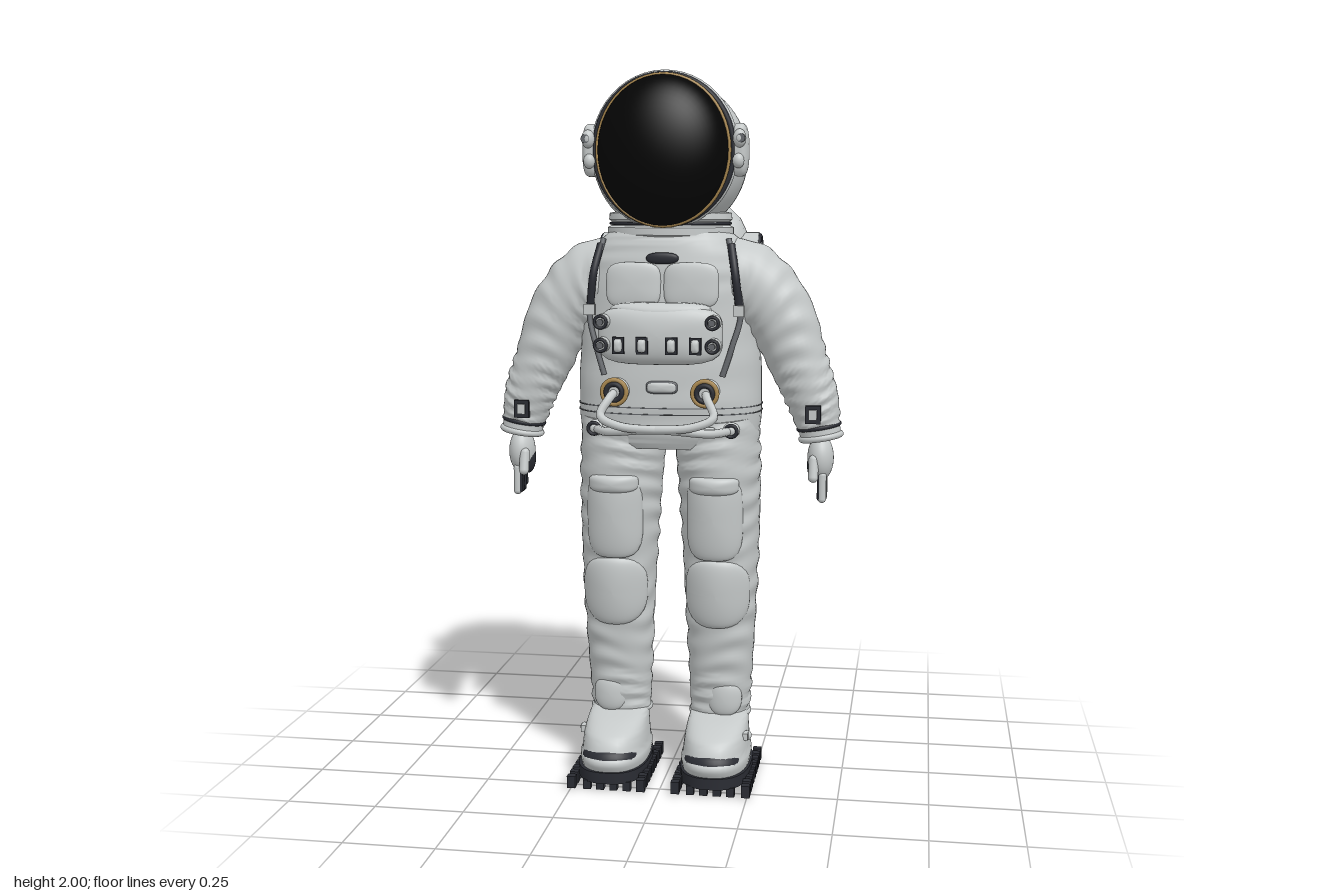
import * as THREE from 'three';
import { toCreasedNormals } from 'three/addons/utils/BufferGeometryUtils.js';

const material = (name, color) => {
  const m = new THREE.MeshStandardMaterial({ color });
  m.name = name;
  return m;
};
const V = (p) => new THREE.Vector3(...p);

// Move and turn a geometry in place
function at(geo, x, y, z, rx = 0, ry = 0, rz = 0) {
  const q = new THREE.Quaternion().setFromEuler(new THREE.Euler(rx, ry, rz));
  return geo.applyMatrix4(new THREE.Matrix4().compose(V([x, y, z]), q, V([1, 1, 1])));
}

// Copy mirrored across x, with corner order restored
function mirrored(geo) {
  const g = geo.clone().scale(-1, 1, 1);
  const old = g.index ? [...g.index.array] : [...Array(g.attributes.position.count).keys()];
  for (let i = 0; i < old.length; i += 3) [old[i], old[i + 1]] = [old[i + 1], old[i]];
  g.setIndex(old);
  return g;
}

// Skin of superellipse rings along sections [x, y, z, sideRadius, depthRadius]
function loft(sections, { rows = 24, power = 2.4, fold = 0, folds = 20 } = {}) {
  const N = 40, pos = [], idx = [];
  const path = new THREE.CatmullRomCurve3(sections.map((s) => V(s.slice(0, 3))));
  const size = new THREE.CatmullRomCurve3(sections.map((s) => new THREE.Vector3(s[3], s[4], 0)));
  for (let i = 0; i <= rows; i++) {
    const t = i / rows, c = path.getPoint(t), r = size.getPoint(t), d = path.getTangent(t);
    d.z = 0;
    d.normalize();
    for (let j = 0; j < N; j++) {
      const a = (j / N) * Math.PI * 2, ca = Math.cos(a), sa = Math.sin(a);
      const k = (Math.abs(ca) ** power + Math.abs(sa) ** power) ** (-1 / power);
      const w = fold * Math.sin(t * folds * 6.28 + 1.8 * Math.sin(a * 2 + t * 9)) * (0.6 + 0.4 * Math.sin(a * 3 + t * 17));
      const u = ca * (k * r.x + w);
      pos.push(c.x + d.y * u, c.y - d.x * u, c.z + sa * (k * r.y + w));
      if (i < rows) {
        const p = i * N + j, q = i * N + ((j + 1) % N);
        idx.push(p, p + N, q, q, p + N, q + N);
      }
    }
  }
  const first = path.getPoint(0), last = path.getPoint(1), n = pos.length / 3;
  pos.push(first.x, first.y, first.z, last.x, last.y, last.z);
  for (let j = 0; j < N; j++) {
    const k = (j + 1) % N;
    idx.push(n, j, k, n + 1, rows * N + k, rows * N + j);
  }
  const g = new THREE.BufferGeometry();
  g.setAttribute('position', new THREE.Float32BufferAttribute(pos, 3));
  g.setIndex(idx);
  return toCreasedNormals(g, 0.9);
}

// Soft rounded rectangle facing z, bent around the body
function cushion(w, h, d, bend = 0, power = 4) {
  const g = new THREE.SphereGeometry(1, 40, 24).rotateX(Math.PI / 2), p = g.attributes.position;
  for (let i = 0; i < p.count; i++) {
    const x = p.getX(i), y = p.getY(i), z = p.getZ(i), r = Math.hypot(x, y) || 1;
    const k = (Math.abs(x / r) ** power + Math.abs(y / r) ** power) ** (-1 / power);
    const px = x * k * w;
    p.setXYZ(i, px, y * k * h, Math.sign(z) * Math.abs(z) ** 0.6 * d - bend * px * px);
  }
  g.computeVertexNormals();
  return g;
}
const ball = (x, y, z) => new THREE.SphereGeometry(1, 32, 20).scale(x, y, z);
const box = (x, y, z) => new THREE.BoxGeometry(x, y, z);
const disc = (r, h) => new THREE.CylinderGeometry(r, r, h, 28);
const ring = (r, t) => new THREE.TorusGeometry(r, t, 10, 48);
const capsule = (r, l) => new THREE.CapsuleGeometry(r, l, 6, 16);
const tube = (points, r) => new THREE.TubeGeometry(new THREE.CatmullRomCurve3(points.map(V)), 48, r, 10);

export function createModel() {
  const model = new THREE.Group();
  const white = material('suit white', 0xc6caca);
  const dark = material('dark rubber', 0x2a2c33);
  const black = material('visor black', 0x050505);
  const gold = material('gold trim', 0xa8874f);
  const grey = material('strap grey', 0x63666a);

  const add = (name, mat, geo) => {
    const mesh = new THREE.Mesh(geo, mat);
    mesh.name = name;
    model.add(mesh);
  };
  const pair = (name, mat, geo) => {
    add(name + 'Left', mat, geo);
    add(name + 'Right', mat, mirrored(geo));
  };
  const H = Math.PI / 2;

  // Helmet, visor and rims
  add('helmet', white, at(new THREE.SphereGeometry(0.216, 48, 32), 0, 1.768, 0.055));
  add('visor', black, at(new THREE.SphereGeometry(1, 48, 16, 0, Math.PI * 2, 0, H).rotateX(H).scale(0.18, 0.203, 0.12), 0, 1.783, 0.18));
  add('visorPlate', white, at(disc(1, 0.012).rotateX(H).scale(0.2, 0.208, 1), 0, 1.785, 0.16));
  add('visorSeal', dark, at(ring(1, 0.04).scale(0.191, 0.202, 0.2), 0, 1.785, 0.172));
  add('visorRim', white, at(ring(1, 0.03).scale(0.198, 0.208, 0.3), 0, 1.785, 0.163));
  add('visorTrim', gold, at(ring(1, 0.025).scale(0.182, 0.203, 0.35), 0, 1.783, 0.185));
  pair('earPod', white, at(cushion(0.04, 0.072, 0.025), 0.205, 1.785, 0.14, 0, H));
  pair('earKnob', white, at(ball(0.018, 0.025, 0.018), 0.208, 1.815, 0.18));
  pair('earKnobLower', white, at(ball(0.016, 0.02, 0.016), 0.205, 1.755, 0.18));
  pair('earButton', grey, at(disc(0.012, 0.01), 0.213, 1.815, 0.192, H));

  // Neck collar
  const collar = [[0.15, 1.54], [0.178, 1.555], [0.178, 1.575], [0.168, 1.58], [0.168, 1.592], [0.174, 1.597], [0.172, 1.615], [0.12, 1.625]];
  add('collar', white, at(toCreasedNormals(new THREE.LatheGeometry(collar.map((p) => new THREE.Vector2(...p)), 48).scale(1, 1, 0.75), 0.6), 0, 0, 0.052));
  add('collarSeal', dark, at(ring(0.169, 0.004).rotateX(H).scale(1, 1, 0.75), 0, 1.586, 0.052));

  // Torso, waist seams, arms and legs
  add('torso', white, loft([
    [0, 0.965, 0.05, 0.235, 0.14], [0, 1.0, 0.05, 0.255, 0.155], [0, 1.1, 0.05, 0.26, 0.16], [0, 1.25, 0.05, 0.255, 0.155],
    [0, 1.4, 0.05, 0.245, 0.15], [0, 1.48, 0.05, 0.23, 0.145], [0, 1.54, 0.05, 0.195, 0.133], [0, 1.57, 0.05, 0.165, 0.122],
  ], { rows: 48, fold: 0.0015, folds: 9 }));
  for (const y of [1.062, 1.08]) {
    add('waistSeam', grey, loft([[0, y, 0.05, 0.262, 0.162], [0, y + 0.003, 0.05, 0.262, 0.162]], { rows: 1 }));
  }
  pair('arm', white, loft([
    [0.1, 1.42, 0.055, 0.11, 0.1], [0.2, 1.425, 0.055, 0.118, 0.105], [0.3, 1.345, 0.06, 0.1, 0.098],
    [0.365, 1.2, 0.068, 0.082, 0.085], [0.405, 1.1, 0.073, 0.073, 0.075], [0.425, 1.02, 0.075, 0.06, 0.06],
  ], { rows: 80, power: 2.1, fold: 0.0035, folds: 13 }));
  pair('leg', white, loft([
    [0.13, 1.04, 0.05, 0.122, 0.15], [0.14, 0.9, 0.05, 0.118, 0.15], [0.146, 0.7, 0.052, 0.11, 0.13],
    [0.148, 0.5, 0.055, 0.101, 0.107], [0.147, 0.3, 0.05, 0.091, 0.086], [0.145, 0.17, 0.045, 0.084, 0.076],
  ].reverse(), { rows: 100, power: 2.2, fold: 0.0035, folds: 14 }));

  // Padding on the legs
  pair('thighPad', white, at(cushion(0.079, 0.12, 0.024, 4.5), 0.142, 0.77, 0.185, 0.07));
  pair('thighPadFlap', white, at(cushion(0.07, 0.024, 0.022, 4.5), 0.142, 0.865, 0.2, 0.07));
  pair('kneePad', white, at(cushion(0.092, 0.1, 0.026, 4.5, 2.8), 0.147, 0.55, 0.16, 0.1));
  pair('shinPad', white, at(cushion(0.05, 0.05, 0.02, 5, 2.5), 0.165, 0.235, 0.118));
  pair('ankleCuff', white, at(ring(1, 0.08).rotateX(H).scale(0.084, 0.1, 0.077), 0.145, 0.18, 0.045));

  // Boots with soles and cleats
  pair('boot', white, loft([
    [0.146, 0.045, 0.125, 0.093, 0.16], [0.146, 0.1, 0.125, 0.093, 0.16], [0.146, 0.145, 0.115, 0.089, 0.147],
    [0.146, 0.172, 0.088, 0.085, 0.113], [0.146, 0.19, 0.048, 0.08, 0.074],
  ]));
  pair('toeCap', dark, at(ball(0.081, 0.047, 0.074), 0.146, 0.085, 0.222));
  pair('bootButton', white, at(ball(0.012, 0.014, 0.014), 0.237, 0.14, 0.15));
  pair('bootBuckle', white, at(box(0.014, 0.02, 0.028), 0.234, 0.145, 0.17));
  pair('sole', dark, loft([[0.147, 0.026, 0.128, 0.1, 0.168], [0.147, 0.058, 0.128, 0.1, 0.168]], { rows: 2, power: 2.6 }));
  pair('solePlate', white, at(disc(1, 0.006).scale(0.05, 1, 0.065), 0.147, 0.025, 0.17));
  for (let i = 0; i < 9; i++) {
    for (const x of [0.049, 0.247]) pair('cleat', dark, at(box(0.024, 0.034, 0.023), x, 0.024, 0.28 - i * 0.0385));
  }
  for (const x of [0.09, 0.128, 0.166, 0.204]) {
    for (const z of [0.27, -0.015]) pair('endCleat', dark, at(box(0.022, 0.026, 0.022), x, 0.016, z));
  }

  // Cuffs, gloves and wrist gauges
  pair('cuff', white, at(disc(0.058, 0.035), 0.427, 1.01, 0.075, 0, 0, 0.17));
  pair('cuffSeal', dark, at(ring(0.058, 0.006).rotateX(H), 0.424, 1.024, 0.075, 0, 0, 0.17));
  pair('cuffRing', white, at(ring(0.055, 0.009).rotateX(H), 0.43, 0.995, 0.075, 0, 0, 0.17));
  pair('wristGauge', dark, at(box(0.042, 0.05, 0.016), 0.412, 1.065, 0.148));
  pair('wristGaugeFace', white, at(box(0.022, 0.028, 0.008), 0.412, 1.065, 0.157));
  pair('palm', white, at(ball(0.037, 0.065, 0.05), 0.43, 0.935, 0.078));
  pair('palmGrip', dark, at(ball(0.02, 0.045, 0.034), 0.412, 0.915, 0.075));
  for (let i = 0; i < 4; i++) {
    const z = 0.045 + i * 0.021, y = 0.856 - (i === 0 ? -0.012 : 0);
    pair('finger', white, at(capsule(0.0115, 0.066), 0.437, y, z));
    pair('fingerGrip', dark, at(capsule(0.0085, 0.062), 0.431, y - 0.001, z));
  }
  pair('thumb', white, at(capsule(0.014, 0.05), 0.413, 0.91, 0.123, -0.25));

  // Chest pockets, badge and straps
  pair('chestPocket', white, at(cushion(0.076, 0.062, 0.016, 1), 0.08, 1.42, 0.202, -0.04));
  add('neckBadge', dark, at(cushion(0.045, 0.016, 0.012, 0, 2.4), 0, 1.493, 0.196));
  pair('strap', grey, tube([[0.175, 1.545, 0.135], [0.196, 1.45, 0.168], [0.212, 1.34, 0.16], [0.19, 1.25, 0.178], [0.165, 1.17, 0.188]], 0.008));
  pair('strapWebbing', dark, tube([[0.182, 1.53, 0.14], [0.197, 1.45, 0.172], [0.209, 1.35, 0.165]], 0.011));
  pair('strapBuckle', white, at(box(0.03, 0.03, 0.016), 0.208, 1.35, 0.175));

  // Chest control unit
  add('controlUnit', white, at(cushion(0.172, 0.08, 0.048, 0.5), 0, 1.287, 0.245));
  add('controlUnitLid', white, at(cushion(0.14, 0.03, 0.045, 0.5), 0, 1.345, 0.235));
  for (const y of [1.325, 1.262]) {
    pair('dial', white, at(disc(0.021, 0.035), 0.152, y, 0.285, H));
    pair('dialRing', dark, at(ring(0.016, 0.004), 0.152, y, 0.303));
    pair('dialCap', grey, at(disc(0.009, 0.014), 0.152, y, 0.306, H));
  }
  for (const x of [0.04, 0.105]) {
    pair('switchFrame', dark, at(box(0.032, 0.046, 0.008), x, 1.262, 0.293));
    pair('switch', white, at(cushion(0.011, 0.018, 0.014), x, 1.262, 0.3));
  }

  // Hose connectors, crossing hoses and waist fittings
  pair('connector', white, at(disc(0.034, 0.06), 0.125, 1.13, 0.22, H));
  pair('connectorTrim', gold, at(ring(0.033, 0.007), 0.125, 1.13, 0.25));
  pair('connectorSeal', dark, at(ring(0.022, 0.007), 0.125, 1.13, 0.254));
  pair('hose', white, tube([[0.125, 1.13, 0.235], [0.135, 1.115, 0.268], [0.155, 1.07, 0.295], [0.1, 1.045, 0.312], [-0.04, 1.035, 0.308], [-0.14, 1.022, 0.265], [-0.195, 1.02, 0.18]], 0.012));
  pair('waistFitting', white, at(ball(0.024, 0.022, 0.025), 0.19, 1.022, 0.185));
  pair('fittingRing', dark, at(ring(0.016, 0.005), 0.192, 1.022, 0.206));
  add('waistBar', white, at(capsule(0.01, 0.28), 0, 1.022, 0.208, 0, 0, H));
  add('namePlate', grey, at(cushion(0.044, 0.018, 0.01), 0, 1.14, 0.208));
  add('namePlateFace', white, at(cushion(0.04, 0.014, 0.01), 0, 1.14, 0.211));

  // Backpack with rear panel and side tanks
  add('backpack', white, at(cushion(0.208, 0.29, 0.095, 0, 3.6), 0, 1.36, -0.165));
  add('backPanel', white, at(cushion(0.182, 0.24, 0.022, 0, 3.6), 0, 1.375, -0.262));
  pair('sideTank', white, at(capsule(0.047, 0.195).scale(1, 1, 1.2), 0.174, 1.245, -0.265));
  for (let i = 0; i < 4; i++) {
    add('rearVent', dark, at(capsule(0.007, 0.26), 0, 1.412 + i * 0.037, -0.308, 0, 0, H));
    pair('sideVent', dark, at(box(0.026, 0.015, 0.088), 0.258, 1.265 + i * 0.031, -0.165));
  }
  pair('ventHousing', white, at(box(0.065, 0.11, 0.07), 0.222, 1.311, -0.165));
  pair('valve', white, at(disc(0.046, 0.05), 0.205, 1.512, -0.15, 0, 0, H));
  pair('valveRing', dark, at(ring(0.035, 0.009), 0.229, 1.512, -0.15, 0, H));
  pair('valveCap', grey, at(disc(0.018, 0.02), 0.23, 1.512, -0.15, 0, 0, H));

  return model;
}
